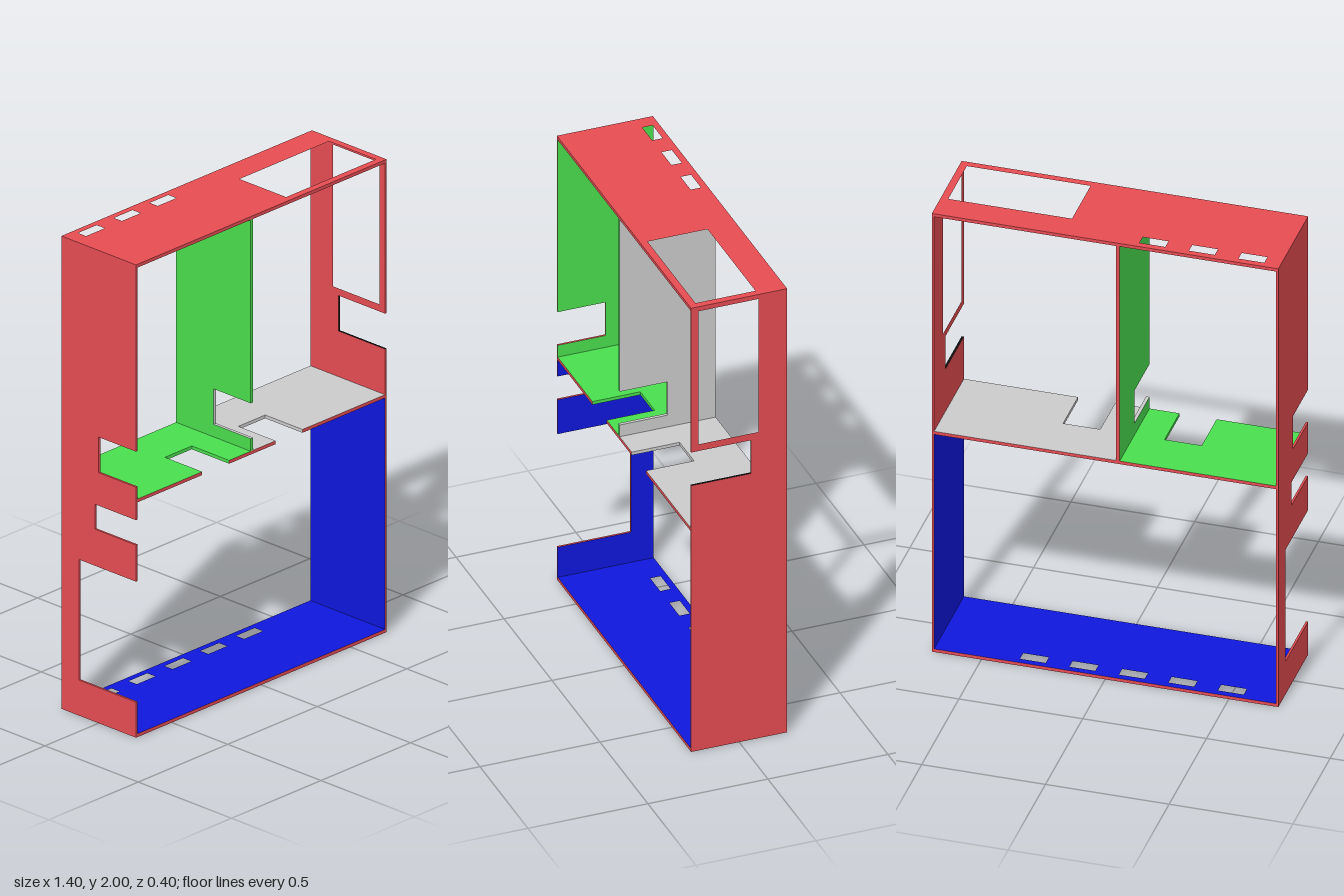
import * as THREE from 'three';

const RED = 0xe54c52, GREEN = 0x4ade4e, BLUE = 0x0f17dc, GREY = 0xcccccc, BLACK = 0x111111;
const W = 0.7, D = 0.2, H = 2, SIDE = 0.009, T = 0.014; // half width, half depth, height, thicknesses
const DIV = -0.052; // x of the upright divider
const IN = W - SIDE;

const materials = {};
const material = (color) => (materials[color] ??= new THREE.MeshStandardMaterial({ color }));

const rect = (a0, a1, b0, b1) => [[a0, b0], [a1, b0], [a1, b1], [a0, b1]];

// Extrudes an outline into a flat board; top/bottom are its two faces, edge the outer rim,
// cut the rim of notches and windows, front the rim facing forward.
function board(name, points, holes, t, { top, bottom, edge = RED, cut = RED, front = edge }, upright) {
  const toPath = (pts) => pts.map(([a, b]) => (upright ? new THREE.Vector2(-a, b) : new THREE.Vector2(a, -b)));
  const shape = new THREE.Shape(toPath(points));
  shape.holes = holes.map((h) => new THREE.Path(toPath(h)));
  const solid = new THREE.ExtrudeGeometry(shape, { depth: t, bevelEnabled: false });
  solid.computeBoundingBox();
  const { min, max } = solid.boundingBox;
  const pos = solid.attributes.position;
  const nor = solid.attributes.normal;

  // Sort the triangles by colour
  const buckets = new Map();
  for (let i = 0; i < pos.count; i += 3) {
    const c = new THREE.Vector3(), v = new THREE.Vector3();
    for (let k = 0; k < 3; k++) c.addScaledVector(v.fromBufferAttribute(pos, i + k), 1 / 3);
    const n = new THREE.Vector3().fromBufferAttribute(nor, i);
    const e = 1e-4;
    const inside = c.x > min.x + e && c.x < max.x - e && c.y > min.y + e && c.y < max.y - e;
    const facesFront = upright ? n.x < -0.5 : n.y < -0.5;
    let color = edge;
    if (n.z > 0.5) color = top;
    else if (n.z < -0.5) color = bottom;
    else if (inside) color = cut;
    else if (facesFront) color = front;
    if (!buckets.has(color)) buckets.set(color, { p: [], n: [] });
    const b = buckets.get(color);
    for (let k = 0; k < 3; k++) {
      b.p.push(pos.getX(i + k), pos.getY(i + k), pos.getZ(i + k));
      b.n.push(n.x, n.y, n.z);
    }
  }

  const group = new THREE.Group();
  group.name = name;
  for (const [color, b] of buckets) {
    const g = new THREE.BufferGeometry();
    g.setAttribute('position', new THREE.Float32BufferAttribute(b.p, 3));
    g.setAttribute('normal', new THREE.Float32BufferAttribute(b.n, 3));
    if (upright) g.rotateY(Math.PI / 2);
    else g.rotateX(-Math.PI / 2);
    const mesh = new THREE.Mesh(g, material(color));
    mesh.name = name + 'Surface';
    group.add(mesh);
  }
  return group;
}

// Upright board: outline in (z, y), placed at x
function wall(name, x, points, holes, t, colors) {
  const g = board(name, points, holes, t, colors, true);
  g.position.x = x;
  return g;
}

// Level board: outline in (x, z), placed at y
function level(name, y, points, holes, colors) {
  const g = board(name, points, holes, T, colors, false);
  g.position.y = y;
  return g;
}

// Outline of an upright board with notches [y0, y1, zDepth] cut from the front edge, bottom to top
function notchedWall(y0, y1, notches) {
  const pts = [[-D, y1], [-D, y0], [D, y0]];
  for (const [a, b, z] of notches) pts.push([D, a], [z, a], [z, b], [D, b]);
  pts.push([D, y1]);
  return pts;
}

// Outline of a shelf with one notch in the front edge
const notchedShelf = (x0, x1, a, b) =>
  [[x0, -D], [x0, D], [a, D], [a, 0], [b, 0], [b, D], [x1, D], [x1, -D]];

// Row of ventilation slots along the back
const slots = (centres) => centres.map((x) => rect(x - 0.052, x + 0.052, -0.173, -0.13));

export function createModel() {
  const model = new THREE.Group();
  model.name = 'openCabinet';

  model.add(
    // Bottom and top boards
    level('bottomBoard', 0, rect(-IN, IN, -D, D), slots([-0.5, -0.3, -0.1, 0.1, 0.3]), { top: BLUE, bottom: RED }),
    level('topBoardRight', H - T, rect(-IN, DIV, -D, D), slots([-0.583, -0.383, -0.183]), { top: RED, bottom: GREEN }),
    level('topBoardLeft', H - T, rect(DIV, IN, -D, D), [rect(0.17, 0.67, -0.08, 0.17)],
      { top: RED, bottom: RED, cut: BLACK }),

    // Middle shelf
    level('shelfRight', 1 - T / 2, notchedShelf(-IN, DIV, -0.33, -0.18), [], { top: GREEN, bottom: BLUE, cut: GREEN }),
    level('shelfLeft', 1 - T / 2, notchedShelf(DIV, IN, 0.08, 0.23), [], { top: GREY, bottom: BLUE, cut: GREY }),

    // Side wall at -x, with cable notches
    wall('rightWallUpper', -W, notchedWall(1, H, [[1.06, 1.21, 0]]), [], SIDE, { top: GREEN, bottom: RED }),
    wall('rightWallLower', -W, notchedWall(0, 1, [[0.15, 0.66, -0.105], [0.815, 0.92, -0.02]]), [], SIDE,
      { top: BLUE, bottom: RED }),

    // Side wall at +x, with window and notch
    wall('leftWallUpper', IN, notchedWall(1, H, [[1.2, 1.35, -0.05]]), [rect(-0.08, 0.17, 1.38, 1.98)], SIDE,
      { top: RED, bottom: RED, cut: BLACK }),
    wall('leftWallLower', IN, notchedWall(0, 1, []), [], SIDE, { top: RED, bottom: BLUE }),

    // Divider between the upper compartments
    wall('divider', DIV - T / 2, notchedWall(1 + T / 2, H - T, [[1.06, 1.21, 0]]), [], T,
      { top: GREY, bottom: GREEN, cut: GREY, front: GREEN }),
  );
  return model;
}
